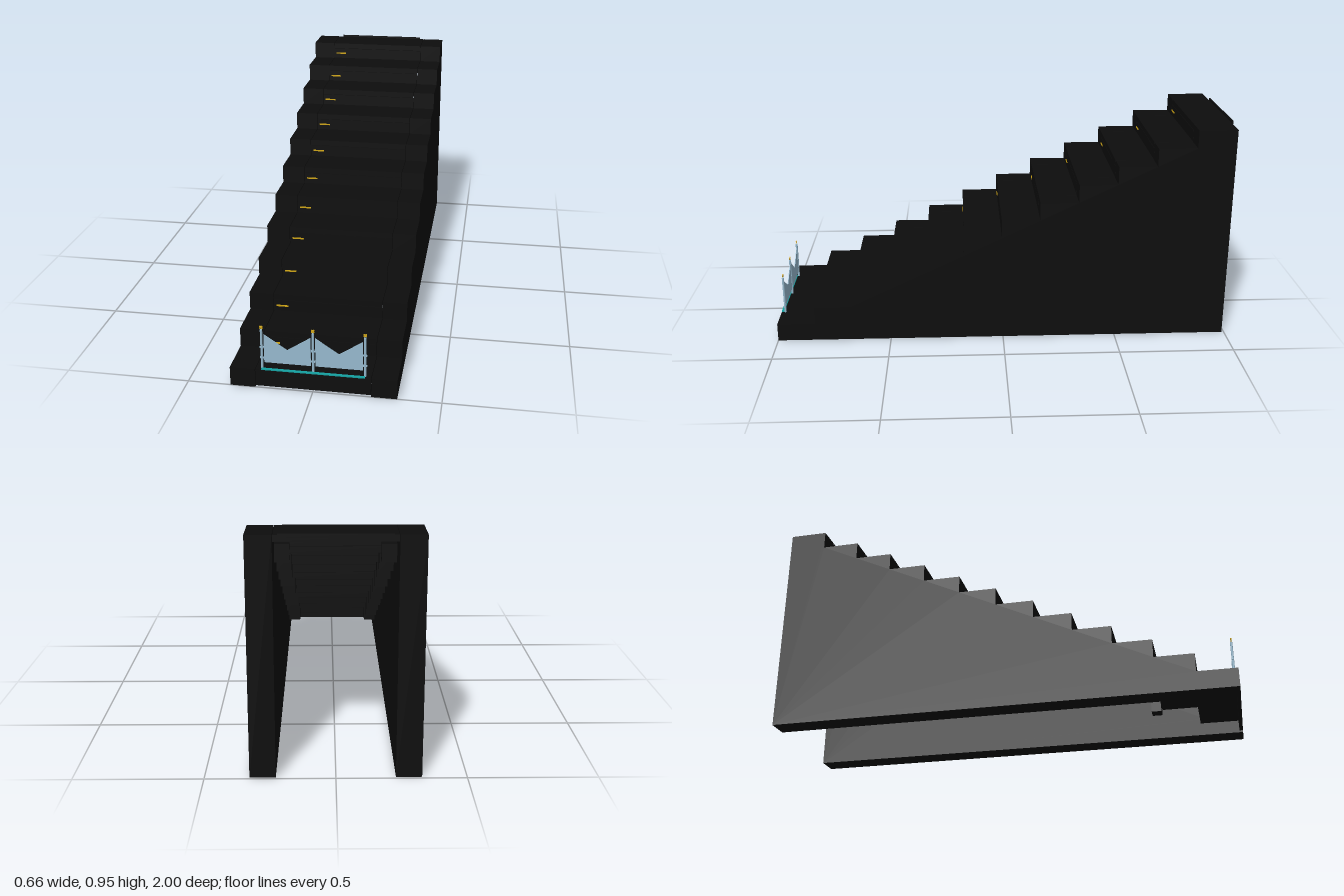
import * as THREE from 'three';

const COUNT = 12;
const RISE = 0.945 / COUNT;
const RUN = 1.99 / COUNT;
const INNER = 0.2265; // half width of the middle flight
const SLAB = 0.025;   // tread thickness
const GAP = 0.002;

const mat = (name, color) => {
  const m = new THREE.MeshStandardMaterial({ color });
  m.name = name;
  return m;
};

export function createModel() {
  const black = mat('black', 0x0d0d0d);
  const gold = mat('gold', 0xcfa514);
  const blue = mat('pale blue', 0x96b9ce);
  const teal = mat('teal', 0x14a0a0);

  const model = new THREE.Group();
  model.name = 'staircase';

  const add = (parent, name, geometry, material) => {
    const mesh = new THREE.Mesh(geometry, material);
    mesh.name = name;
    parent.add(mesh);
    return mesh;
  };
  // Box given by its limits on each axis
  const box = (parent, name, material, x0, x1, y0, y1, z0, z1) => {
    const mesh = add(parent, name, new THREE.BoxGeometry(x1 - x0, y1 - y0, z1 - z0), material);
    mesh.position.set((x0 + x1) / 2, (y0 + y1) / 2, (z0 + z1) / 2);
    return mesh;
  };

  // Solid stepped walls on both sides
  const profile = new THREE.Shape();
  profile.moveTo(-1, 0);
  for (let i = 0; i < COUNT; i++) {
    profile.lineTo(-1 + i * RUN, (i + 1) * RISE);
    profile.lineTo(-1 + (i + 1) * RUN, (i + 1) * RISE);
  }
  profile.lineTo(0.99, 0);
  const wall = new THREE.ExtrudeGeometry(profile, { depth: 0.1, bevelEnabled: false });
  wall.rotateY(Math.PI / 2);
  add(model, 'leftWall', wall, black).position.x = 0.2285;
  add(model, 'rightWall', wall, black).position.x = -0.3285;

  // Middle flight: treads, risers, supports and step lights
  for (let i = 0; i < COUNT; i++) {
    const step = new THREE.Group();
    step.name = 'step' + (i + 1);
    model.add(step);
    const front = 1 - i * RUN;
    const back = front - RUN;
    const top = (i + 1) * RISE;
    const last = i === COUNT - 1;
    box(step, 'tread', black, -INNER, INNER, top - SLAB, top, last ? back : back - 0.015, front);
    box(step, 'riser', black, -INNER, INNER, i ? i * RISE + GAP : 0.008, top - SLAB - GAP, front - 0.015, front);
    if (i > 0 && !last) {
      for (const x of [-0.198, 0.198]) {
        box(step, 'support', black, x - 0.028, x + 0.028, top - 0.05, top + 0.02, back - 0.06, back - 0.016);
      }
    }
    if (i > 0) {
      const y = i * RISE + 0.027;
      box(step, 'stepLight', gold, -0.215, -0.165, y - 0.003, y + 0.003, front - 0.002, front + 0.003);
    }
  }

  // Thin bar behind the top landing
  box(model, 'topBar', black, -0.208, 0.208, 0.938, 0.952, -1, -0.994);

  // Gate on the first step
  const gate = new THREE.Group();
  gate.name = 'gate';
  model.add(gate);
  const base = RISE;
  const gz = 0.983;
  box(gate, 'groundStrip', teal, -0.203, 0.203, base, base + 0.004, 0.988, 1);

  for (const x of [-0.202, 0, 0.202]) {
    const post = add(gate, 'post', new THREE.CylinderGeometry(0.005, 0.005, 0.168, 12), blue);
    post.position.set(x, base + 0.084, gz);
    // Crossed ornament on each post
    for (const turn of [-1, 1]) {
      const arm = add(gate, 'postOrnament', new THREE.BoxGeometry(0.015, 0.004, 0.005), gold);
      arm.position.set(x, 0.257, gz);
      arm.rotation.z = turn * Math.PI / 4;
    }
    add(gate, 'postCap', new THREE.TorusGeometry(0.005, 0.0015, 6, 12), gold).position.set(x, 0.257, gz);
    for (const y of [0.125, 0.17]) {
      box(gate, 'hinge', blue, x - 0.008, x + 0.008, y - 0.003, y + 0.003, gz - 0.003, gz + 0.003);
    }
  }

  // Notched gate leaves
  const leaf = new THREE.Shape();
  leaf.moveTo(-0.092, 0.105);
  leaf.lineTo(0.092, 0.105);
  leaf.lineTo(0.092, 0.228);
  leaf.lineTo(0, 0.166);
  leaf.lineTo(-0.092, 0.228);
  leaf.closePath();
  const leafGeometry = new THREE.ExtrudeGeometry(leaf, { depth: 0.003, bevelEnabled: false });
  for (const x of [-0.101, 0.101]) {
    add(gate, 'gateLeaf', leafGeometry, blue).position.set(x, 0, gz - 0.0015);
  }

  return model;
}
